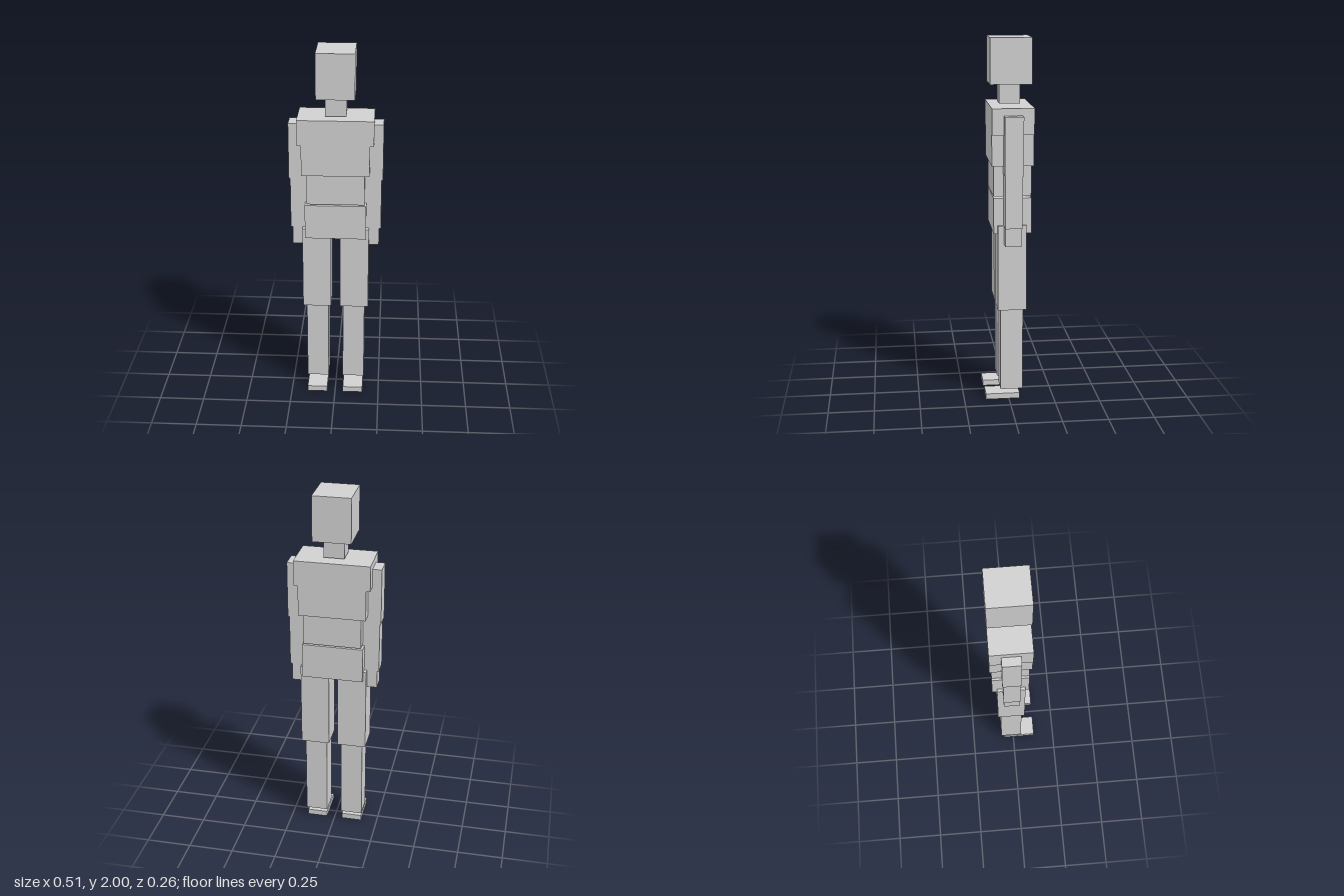
import * as THREE from 'three';

export function createModel() {
  const group = new THREE.Group();
  const grey = new THREE.MeshStandardMaterial({ color: 0xd1d1d1 });
  grey.name = 'light grey';

  // Box from its extents along each axis
  function block(name, [x0, x1], [y0, y1], [z0, z1]) {
    const mesh = new THREE.Mesh(new THREE.BoxGeometry(x1 - x0, y1 - y0, z1 - z0), grey);
    mesh.position.set((x0 + x1) / 2, (y0 + y1) / 2, (z0 + z1) / 2);
    mesh.name = name;
    group.add(mesh);
  }

  // Head and torso: half width, height range, depth range
  const core = [
    ['head', 0.103, [1.754, 2], [-0.13, 0.095]],
    ['neck', 0.056, [1.648, 1.754], [-0.07, 0.042]],
    ['shoulders', 0.205, [1.5, 1.64], [-0.13, 0.095]],
    ['chest', 0.183, [1.33, 1.5], [-0.13, 0.095]],
    ['abdomen', 0.157, [1.161, 1.33], [-0.12, 0.084]],
    ['pelvis', 0.167, [0.958, 1.153], [-0.12, 0.084]],
  ];
  for (const [name, w, y, z] of core) block(name, [-w, w], y, z);

  // Limbs: left side extents, mirrored to the right
  const limbs = [
    ['UpperArm', [0.155, 0.255], [1.288, 1.602], [-0.068, 0.033]],
    ['Forearm', [0.157, 0.248], [1.002, 1.288], [-0.063, 0.03]],
    ['Hand', [0.15, 0.238], [0.902, 1.002], [-0.061, 0.029]],
    ['Thigh', [0.025, 0.183], [0.528, 1.004], [-0.093, 0.063]],
    ['Shin', [0.041, 0.163], [0.06, 0.528], [-0.076, 0.047]],
    ['Foot', [0.045, 0.158], [0, 0.032], [-0.06, 0.129]],
  ];
  for (const [name, [x0, x1], y, z] of limbs) {
    block('left' + name, [x0, x1], y, z);
    block('right' + name, [-x1, -x0], y, z);
  }
  return group;
}
